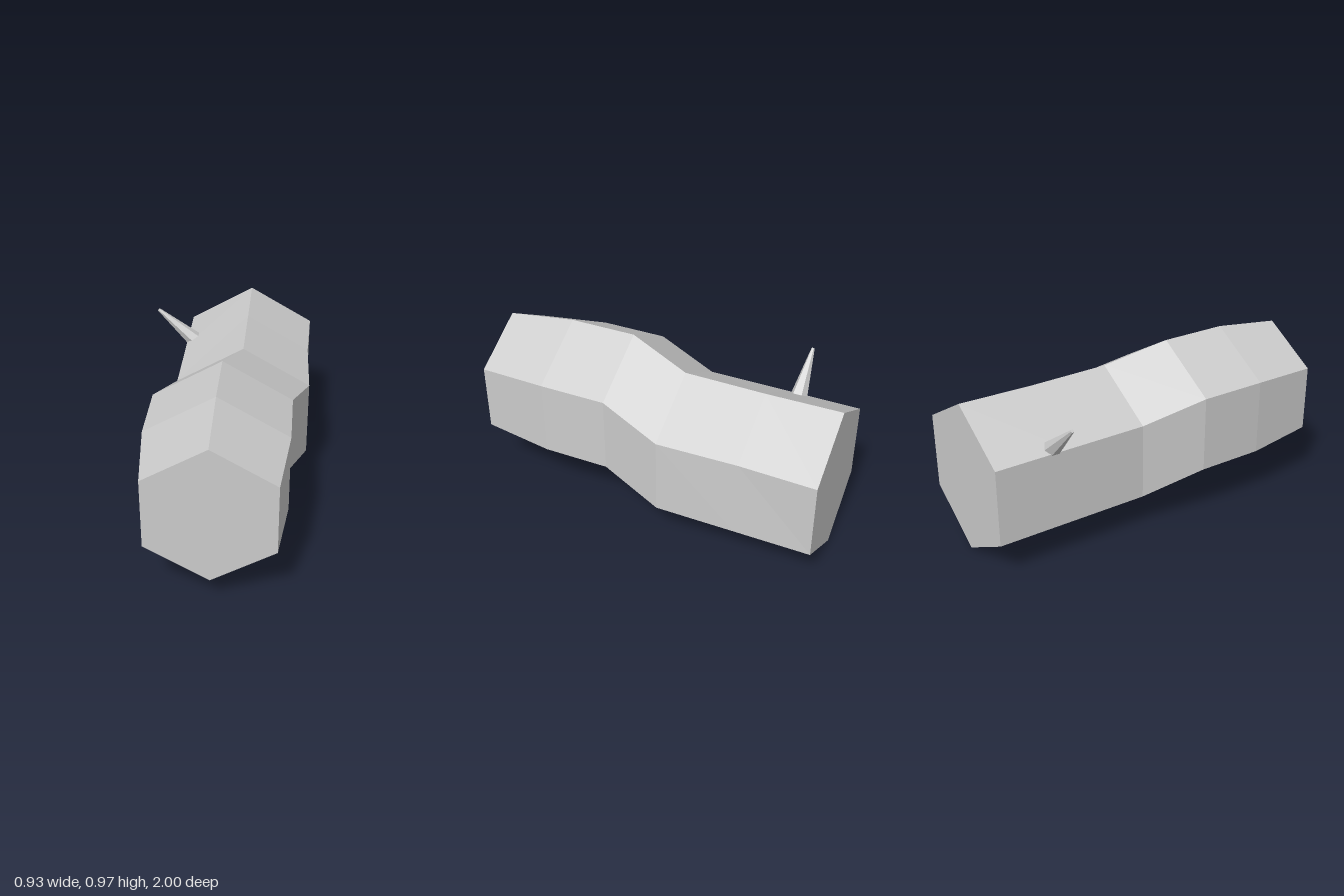
import * as THREE from 'three';

const SIDES = 6;

// Stations along the body: z, centre x, centre y, radius
const STATIONS = [
  [1, 0, 0.533, 0.382],
  [0.6, 0, 0.535, 0.432],
  [0.22, 0, 0.535, 0.432],
  [-0.13, 0.088, 0.435, 0.433],
  [-0.58, 0.088, 0.435, 0.433],
  [-1, 0.088, 0.435, 0.433],
];

function hexRing([z, cx, cy, r]) {
  return Array.from({ length: SIDES }, (_, k) => {
    const a = Math.PI / 2 + (k * 2 * Math.PI) / SIDES;
    return new THREE.Vector3(cx + r * Math.cos(a), cy + r * Math.sin(a), z);
  });
}

// Closed faceted skin through rings ordered from front to back
function loft(rings) {
  const points = [];
  const last = rings.length - 1;
  for (let i = 0; i < last; i++) {
    for (let k = 0; k < SIDES; k++) {
      const n = (k + 1) % SIDES;
      const a = rings[i][k], b = rings[i][n], c = rings[i + 1][k], d = rings[i + 1][n];
      points.push(a, c, b, b, c, d);
    }
  }
  for (let k = 1; k < SIDES - 1; k++) {
    points.push(rings[0][0], rings[0][k], rings[0][k + 1]);
    points.push(rings[last][0], rings[last][k + 1], rings[last][k]);
  }
  const geometry = new THREE.BufferGeometry().setFromPoints(points);
  geometry.computeVertexNormals();
  return geometry;
}

export function createModel() {
  const group = new THREE.Group();
  const material = new THREE.MeshStandardMaterial({ color: 0xcccccc, flatShading: true });

  // Bent hexagonal body, with a slight dent in the upper left edge towards the back
  const rings = STATIONS.map(hexRing);
  rings[4][0].y -= 0.005;
  rings[4][5].x -= 0.012;
  const body = new THREE.Mesh(loft(rings), material);
  body.name = 'body';
  group.add(body);

  // Thin tapered spike rising from the upper right face
  const tip = new THREE.Vector3(-0.46, 0.851, -0.66);
  const root = new THREE.Vector3(-0.235, 0.649, -0.663);
  const axis = tip.clone().sub(root);
  const spike = new THREE.Mesh(new THREE.CylinderGeometry(0.009, 0.05, axis.length(), 6), material);
  spike.name = 'spike';
  spike.position.copy(root).addScaledVector(axis, 0.5);
  spike.quaternion.setFromUnitVectors(new THREE.Vector3(0, 1, 0), axis.normalize());
  group.add(spike);

  return group;
}
